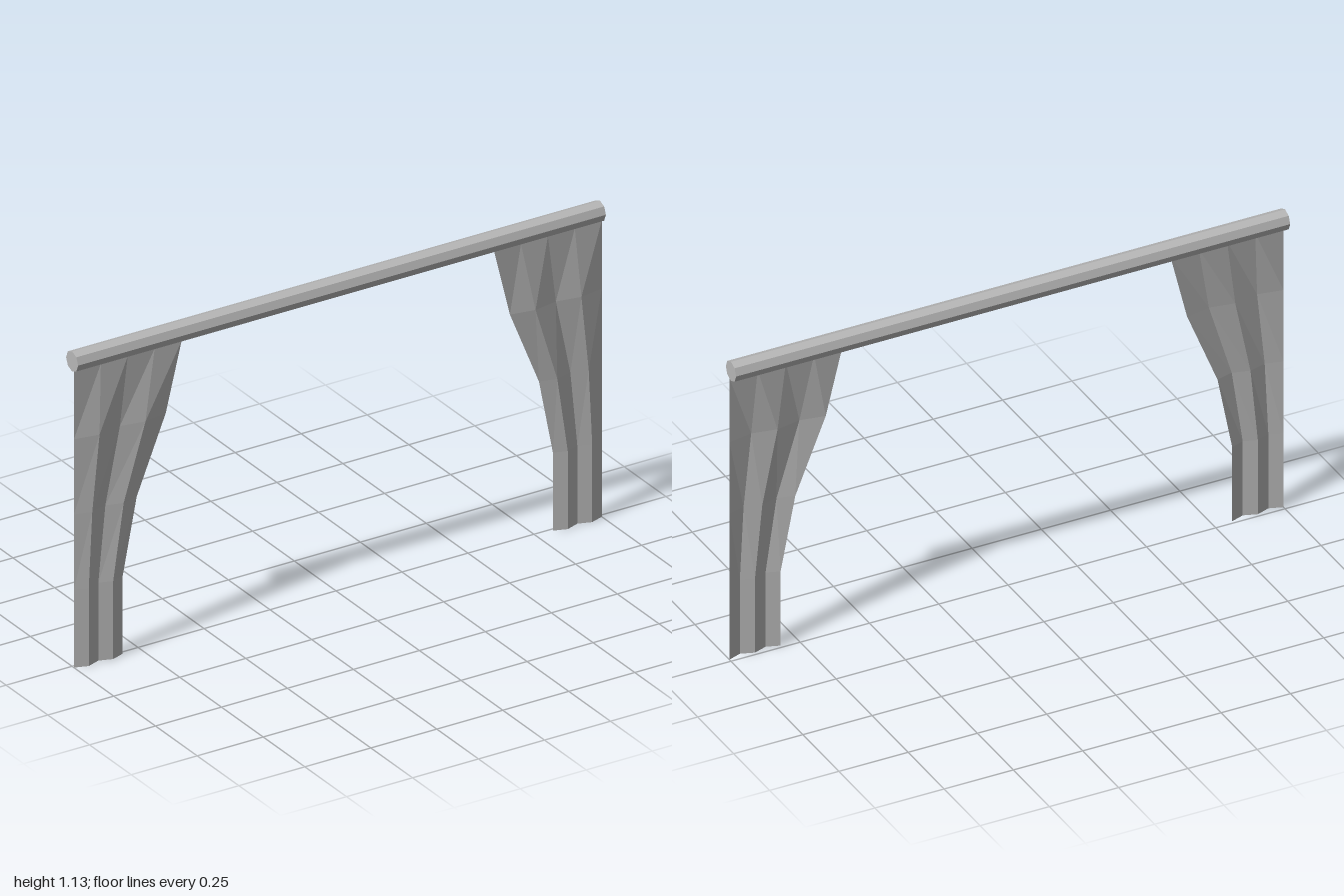
import * as THREE from 'three';

// Height and width of the curtain at each row, from top to bottom
const ROWS = [[1.063, 0.408], [0.82, 0.348], [0.55, 0.238], [0.28, 0.185], [0, 0.185]];
const PLEATS = 4;
const Z_BACK = 0.011, Z_FRONT = 0.027;

const grey = new THREE.MeshStandardMaterial({
  name: 'plainGrey', color: 0xb8b8b8, flatShading: true, side: THREE.DoubleSide,
});

// Pleated sheet: straight outer edge, gathered inner edge, flat along the rod
function curtain(side, name) {
  const plane = new THREE.PlaneGeometry(1, 1, PLEATS, ROWS.length - 1);
  const pos = plane.attributes.position;
  ROWS.forEach(([y, width], row) => {
    for (let i = 0; i <= PLEATS; i++) {
      const fold = side < 0 ? i : PLEATS - i; // counted from the outer edge
      const x = side * (1 - width * fold / PLEATS);
      const z = row > 0 && fold % 2 ? Z_FRONT : Z_BACK;
      pos.setXYZ(row * (PLEATS + 1) + i, x, y, z);
    }
  });
  const geometry = plane.toNonIndexed();
  geometry.computeVertexNormals();
  const mesh = new THREE.Mesh(geometry, grey);
  mesh.name = name;
  return mesh;
}

export function createModel() {
  const group = new THREE.Group();
  group.name = 'curtains';

  // Eight-sided rod along x
  const rod = new THREE.Mesh(new THREE.CylinderGeometry(0.036, 0.036, 2, 8), grey);
  rod.name = 'curtainRod';
  rod.rotation.z = Math.PI / 2;
  rod.position.y = 1.095;

  group.add(rod, curtain(1, 'leftCurtain'), curtain(-1, 'rightCurtain'));
  return group;
}
